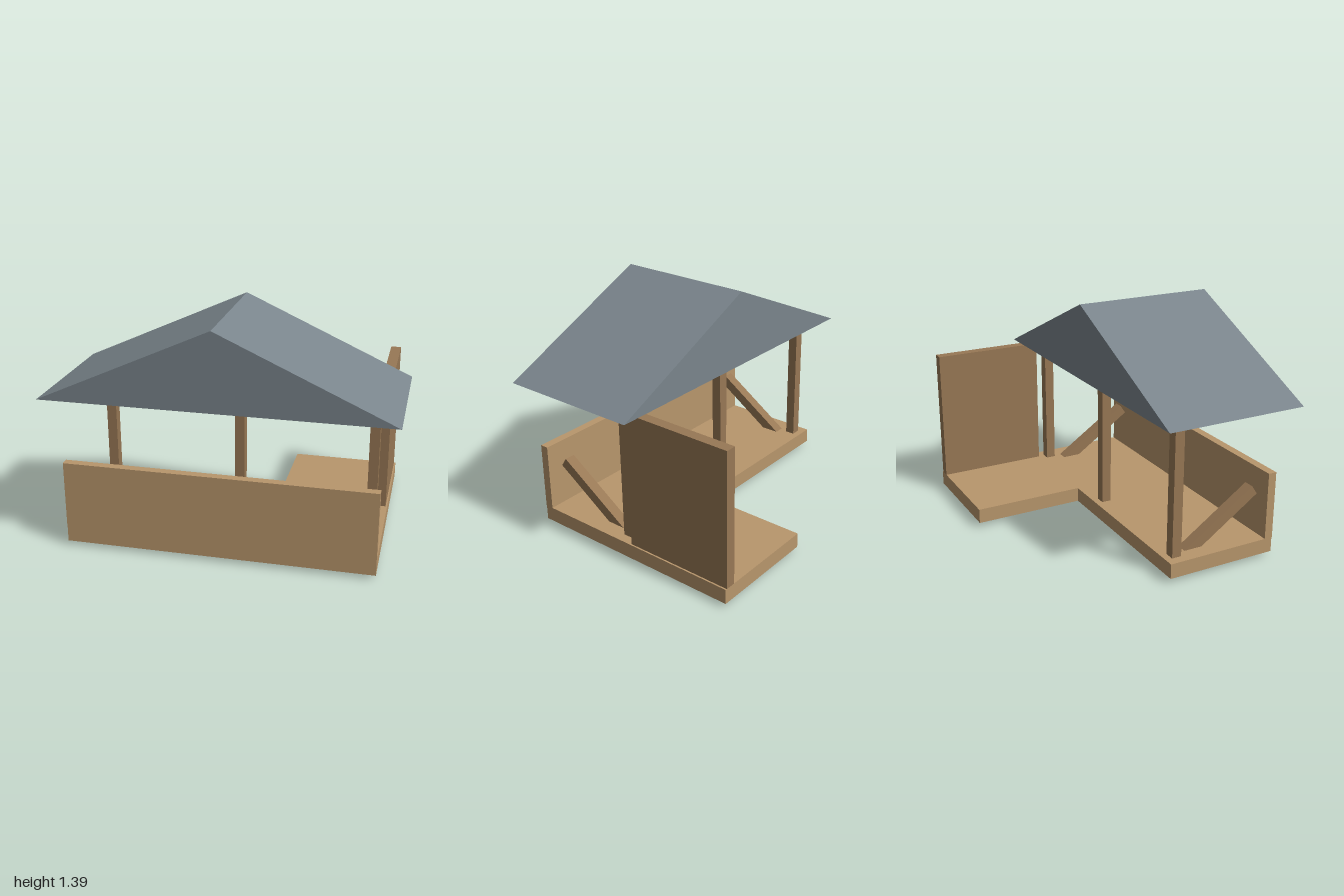
import * as THREE from 'three';

const mat = (color) => new THREE.MeshStandardMaterial({ color, flatShading: true });

export function createModel() {
  const model = new THREE.Group();
  model.name = 'shelter';
  const plank = mat(0xb8966c), timber = mat(0x987855), slate = mat(0x7a858c);

  const add = (name, geometry, material) => {
    const mesh = new THREE.Mesh(geometry, material);
    mesh.name = name;
    model.add(mesh);
    return mesh;
  };
  // Box given by its min and max corners
  const box = (name, material, [x0, y0, z0], [x1, y1, z1]) => {
    const mesh = add(name, new THREE.BoxGeometry(x1 - x0, y1 - y0, z1 - z0), material);
    mesh.position.set((x0 + x1) / 2, (y0 + y1) / 2, (z0 + z1) / 2);
    return mesh;
  };
  const outline = (points) => new THREE.Shape(points.map(([x, y]) => new THREE.Vector2(x, y)));

  // L-shaped floor, drawn as (x, -z) and laid flat
  const floor = outline([
    [-0.905, -0.64], [0.905, -0.64], [0.905, 0.725], [0.23, 0.725], [0.23, 0.045], [-0.905, 0.045],
  ]);
  const floorGeometry = new THREE.ExtrudeGeometry(floor, { depth: 0.09, bevelEnabled: false });
  floorGeometry.rotateX(-Math.PI / 2);
  add('floor', floorGeometry, plank).position.y = 0.03;

  // Low front wall and tall side wall behind the posts
  box('frontWall', plank, [-0.905, 0.12, 0.592], [0.905, 0.53, 0.643]);
  box('sideWall', timber, [0.832, 0.12, -0.725], [0.895, 0.94, -0.046]);

  // Roof posts
  for (const x of [-0.82, 0, 0.817]) {
    box('post', timber, [x - 0.03, 0.031, -0.004], [x + 0.03, 0.945, 0.055]);
  }

  // Slanted braces that pass through the floor
  for (const x of [-0.775, 0.77]) {
    const brace = add('brace', new THREE.BoxGeometry(0.065, 0.064, 0.657), timber);
    brace.position.set(x, 0.213, 0.3);
    brace.rotation.x = -0.592;
  }

  // Solid gable roof
  const gable = outline([[-1, 0.94], [1, 0.94], [0, 1.395]]);
  const roof = new THREE.ExtrudeGeometry(gable, { depth: 0.86, bevelEnabled: false });
  add('roof', roof, slate).position.z = -0.136;

  return model;
}
